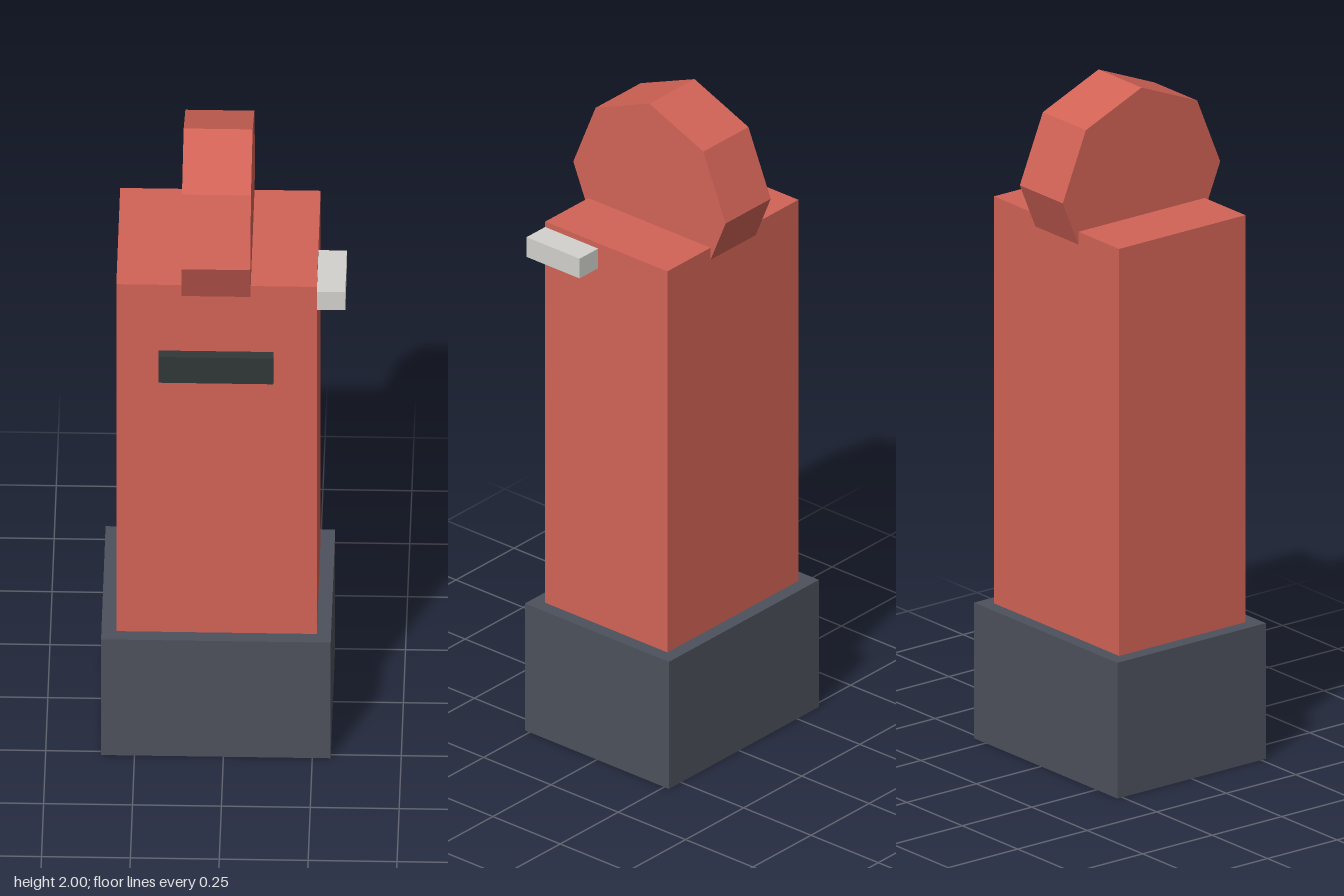
import * as THREE from 'three';

export function createModel() {
  const material = (name, color) => {
    const m = new THREE.MeshStandardMaterial({ color });
    m.name = name;
    return m;
  };
  const red = material('brick red', 0xd26356);
  const slate = material('slate', 0x4d515c);
  const dark = material('dark green grey', 0x303837);
  const pale = material('pale grey', 0xd2d1cd);

  const model = new THREE.Group();
  model.name = 'pillar';

  // Box given by its lower and upper limits on each axis
  const box = (name, mat, [x0, x1], [y0, y1], [z0, z1]) => {
    const mesh = new THREE.Mesh(new THREE.BoxGeometry(x1 - x0, y1 - y0, z1 - z0), mat);
    mesh.position.set((x0 + x1) / 2, (y0 + y1) / 2, (z0 + z1) / 2);
    mesh.name = name;
    model.add(mesh);
  };

  box('base', slate, [-0.344, 0.302], [0, 0.405], [-0.267, 0.267]);
  box('body', red, [-0.302, 0.262], [0.405, 1.62], [-0.227, 0.227]);
  box('slot', dark, [-0.183, 0.14], [1.3, 1.39], [0.227, 0.258]);
  box('sideHandle', pale, [0.262, 0.342], [1.54, 1.603], [0.03, 0.227]);

  // Eight-sided disc lying across x, half sunk in the body, one corner straight up
  const disc = new THREE.CylinderGeometry(0.283, 0.283, 0.194, 8).toNonIndexed();
  disc.computeVertexNormals();
  disc.rotateZ(Math.PI / 2);
  const topDisc = new THREE.Mesh(disc, red);
  topDisc.name = 'topDisc';
  topDisc.position.set(-0.021, 1.717, 0);
  model.add(topDisc);

  return model;
}
